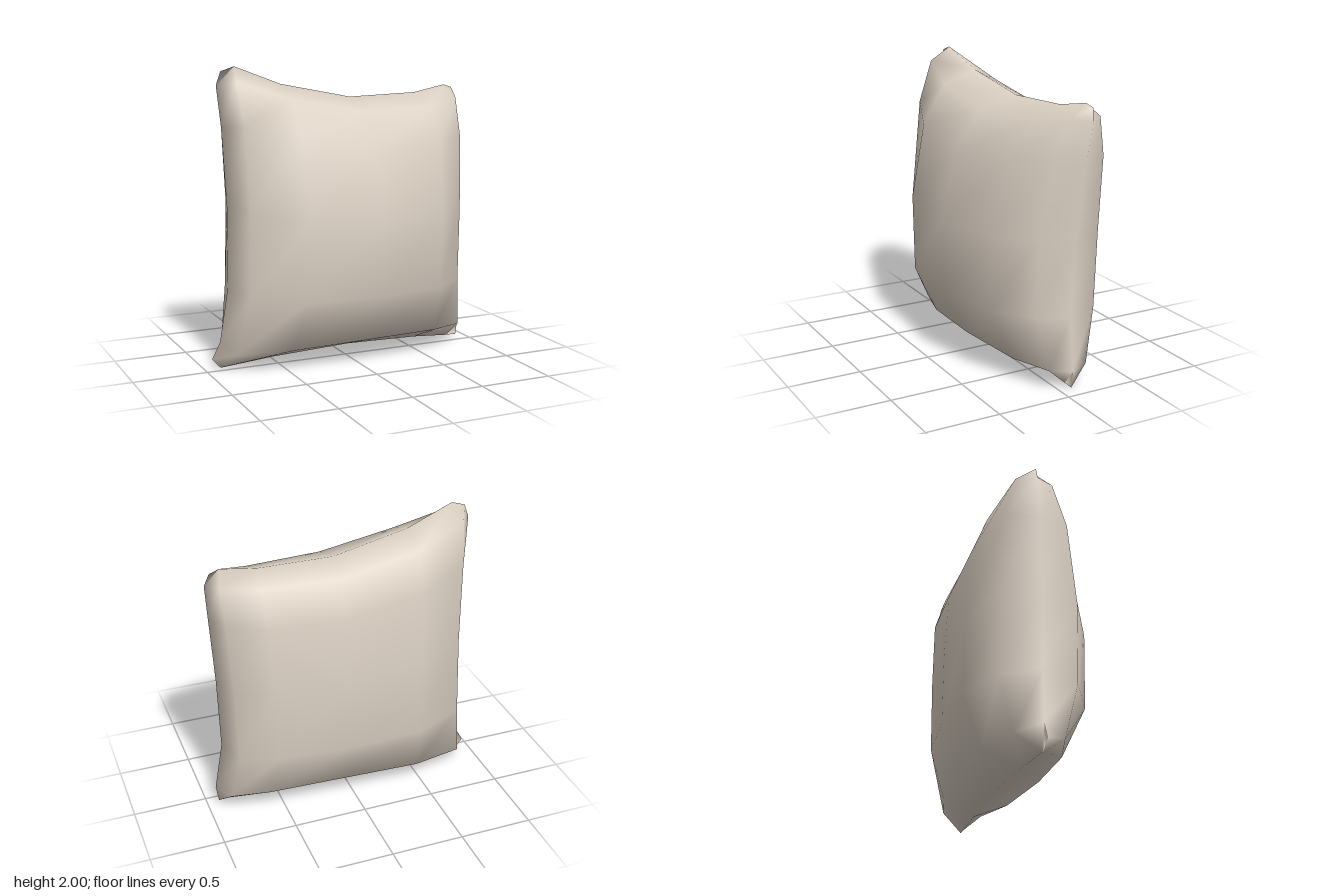
import * as THREE from 'three';
import { mergeGeometries, mergeVertices } from 'three/addons/utils/BufferGeometryUtils.js';

const curve = (pts) => new THREE.CatmullRomCurve3(pts.map((p) => new THREE.Vector3(...p)), false, 'centripetal');

// Seam of the cushion: four slightly wavy edges meeting at pinched corners
const TL = [-0.85, 1.97, -0.07], TR = [0.92, 1.82, -0.19];
const BL = [-0.95, 0.07, -0.05], BR = [0.92, 0.02, -0.07];
const seam = {
  bottom: curve([BL, [-0.91, 0.0, -0.06], [-0.86, 0.01, -0.06], [-0.5, 0.03, -0.07], [0.1, 0.055, -0.07], [0.6, 0.04, -0.07], [0.88, 0.02, -0.07], BR]),
  top: curve([TL, [-0.82, 1.99, -0.07], [-0.75, 2.0, -0.07], [-0.43, 1.88, -0.1], [-0.12, 1.795, -0.12], [0.53, 1.785, -0.15], [0.87, 1.84, -0.18], TR]),
  left: curve([BL, [-0.87, 0.24, -0.05], [-0.84, 0.47, -0.04], [-0.835, 0.95, -0.03], [-0.84, 1.43, -0.04], [-0.88, 1.9, -0.07], TL]),
  right: curve([BR, [0.94, 0.1, -0.07], [0.885, 0.41, -0.08], [0.89, 0.8, -0.09], [0.91, 1.31, -0.12], [0.95, 1.73, -0.17], TR]),
};
const corners = [BL, BR, TL, TR].map((p) => new THREE.Vector3(...p));

// Positions of the facet columns and rows, from -1 to 1 across the cushion
const columns = [-1, -0.89, -0.5, 0.08, 0.64, 0.92, 1];
const rows = [-1, -0.87, -0.48, 0.08, 0.62, 0.9, 1];

// Padding of each side: greatest depth and its share at every column and row
const front = { side: 1, depth: 0.5, across: [0, 0.52, 0.9, 1, 0.81, 0.43, 0], up: [0, 0.61, 0.98, 1, 0.83, 0.5, 0] };
const back = { side: -1, depth: 0.365, across: [0, 0.67, 1, 1, 0.86, 0.6, 0], up: [0, 0.66, 1, 0.98, 0.84, 0.5, 0] };

// Point on the middle sheet, blended from the four seam edges
function sheetPoint(s, t) {
  const p = new THREE.Vector3()
    .addScaledVector(seam.bottom.getPointAt(s), 1 - t)
    .addScaledVector(seam.top.getPointAt(s), t)
    .addScaledVector(seam.left.getPointAt(t), 1 - s)
    .addScaledVector(seam.right.getPointAt(t), s);
  [(1 - s) * (1 - t), s * (1 - t), (1 - s) * t, s * t].forEach((w, i) => p.addScaledVector(corners[i], -w));
  return p;
}

// One padded side of the cushion; the back runs right to left so it faces outward
function paddedSide({ side, depth, across, up }) {
  const n = columns.length - 1;
  const g = new THREE.PlaneGeometry(2, 2, n, n);
  const pos = g.attributes.position;
  for (let i = 0; i < pos.count; i++) {
    const step = i % (n + 1);
    const c = side > 0 ? step : n - step;
    const r = n - Math.floor(i / (n + 1));
    const p = sheetPoint((columns[c] + 1) / 2, (rows[r] + 1) / 2);
    pos.setXYZ(i, p.x, p.y, p.z + side * depth * across[c] * up[r]);
  }
  g.deleteAttribute('uv');
  g.deleteAttribute('normal');
  return g;
}

export function createModel() {
  const group = new THREE.Group();
  group.name = 'cushion';
  const fabric = new THREE.MeshStandardMaterial({ color: 0xdcd1c4 });
  fabric.name = 'beige fabric';

  // Both sides welded along the seam, shaded smoothly
  const geometry = mergeVertices(mergeGeometries([paddedSide(front), paddedSide(back)]), 1e-4);
  geometry.computeVertexNormals();
  const cover = new THREE.Mesh(geometry, fabric);
  cover.name = 'cushionCover';
  group.add(cover);
  return group;
}
